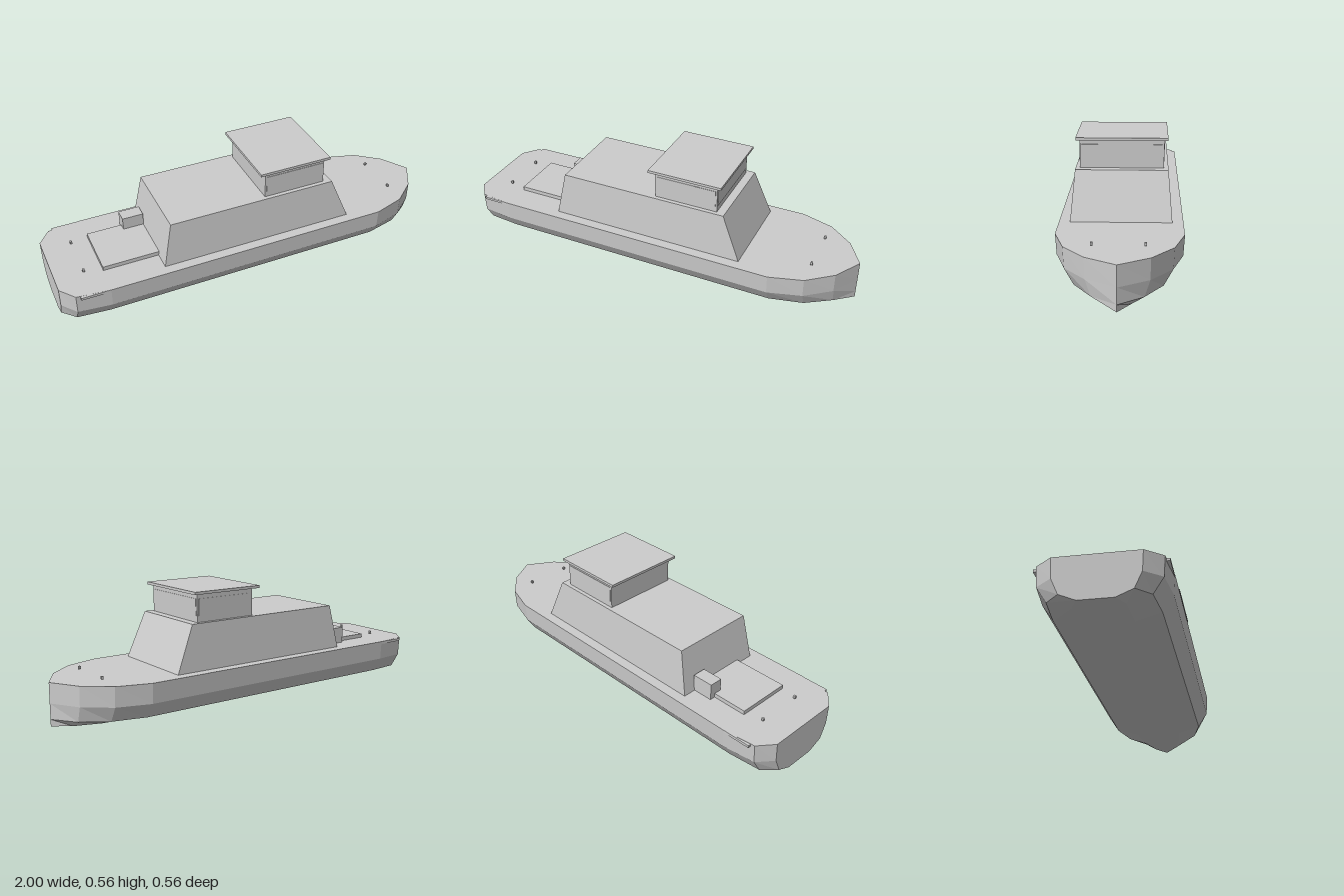
import * as THREE from 'three';

const grey = new THREE.MeshStandardMaterial({ color: 0xcccccc, flatShading: true });
grey.name = 'hull grey';

// Loft closed loops of points into a solid with capped ends
function loft(rings) {
  const n = rings[0].length, index = [];
  for (let i = 0; i < rings.length - 1; i++) {
    for (let j = 0; j < n; j++) {
      const a = i * n + j, b = i * n + (j + 1) % n;
      index.push(a, a + n, b, b, a + n, b + n);
    }
  }
  const last = (rings.length - 1) * n;
  for (let j = 1; j < n - 1; j++) {
    index.push(0, j, j + 1);
    index.push(last, last + j + 1, last + j);
  }
  let g = new THREE.BufferGeometry();
  g.setAttribute('position', new THREE.Float32BufferAttribute(rings.flat(2), 3));
  g.setIndex(index);
  g = g.toNonIndexed();
  g.computeVertexNormals();
  return g;
}

export function createModel() {
  const boat = new THREE.Group();
  boat.name = 'boat';

  const add = (name, geometry) => {
    const mesh = new THREE.Mesh(geometry, grey);
    mesh.name = name;
    boat.add(mesh);
    return mesh;
  };
  // Box given by its limits on each axis
  const box = (name, [x0, x1], [y0, y1], [z0, z1]) =>
    add(name, new THREE.BoxGeometry(x1 - x0, y1 - y0, z1 - z0))
      .position.set((x0 + x1) / 2, (y0 + y1) / 2, (z0 + z1) / 2);

  // Hull: half-width at each station, scaled at each height, bow at +x
  const stations = [[-1, 0.185], [-0.94, 0.262], [-0.78, 0.281], [0.64, 0.281],
    [0.8, 0.233], [0.92, 0.135], [1, 0]];
  const levels = [[0.2, 1], [0.105, 0.98], [0.032, 0.81], [0, 0.41]];
  add('hull', loft(stations.map(([x, w]) => [
    ...levels.map(([y, k]) => [x, y, -w * k]),
    ...[...levels].reverse().map(([y, k]) => [x, y, w * k]),
  ])));

  // Rubbing strakes that stand proud only where the hull narrows aft
  for (const s of [-1, 1]) {
    box(s > 0 ? 'leftStrake' : 'rightStrake', [-0.92, -0.7], [0.187, 0.1995],
      s > 0 ? [0.262, 0.28] : [-0.28, -0.262]);
  }

  // Cabin with sloping walls
  const cabin = new THREE.BoxGeometry(1, 1, 1);
  const p = cabin.attributes.position;
  for (let i = 0; i < p.count; i++) {
    const top = p.getY(i) > 0;
    const x = p.getX(i) > 0 ? (top ? 0.388 : 0.48) : (top ? -0.457 : -0.502);
    p.setXYZ(i, x, top ? 0.42 : 0.199, Math.sign(p.getZ(i)) * (top ? 0.213 : 0.231));
  }
  cabin.computeVertexNormals();
  add('cabin', cabin);

  // Wheelhouse with thin window panes and roof
  box('wheelhouse', [0.032, 0.348], [0.419, 0.553], [-0.193, 0.193]);
  box('frontWindow', [0.345, 0.3505], [0.45, 0.53], [-0.185, 0.185]);
  box('leftWindow', [0.04, 0.34], [0.45, 0.53], [0.19, 0.195]);
  box('rightWindow', [0.04, 0.34], [0.45, 0.53], [-0.195, -0.19]);
  box('roof', [0.002, 0.371], [0.552, 0.565], [-0.211, 0.211]);

  // Aft deck fittings
  box('hatch', [-0.775, -0.49], [0.199, 0.22], [-0.137, 0.137]);
  box('locker', [-0.6, -0.495], [0.199, 0.282], [-0.165, -0.098]);

  // Mooring eyes just above the deck
  for (const x of [-0.862, 0.799]) {
    for (const z of [-0.113, 0.113]) {
      box('mooringEye', [x - 0.005, x + 0.005], [0.207, 0.221], [z - 0.005, z + 0.005]);
    }
  }
  return boat;
}
